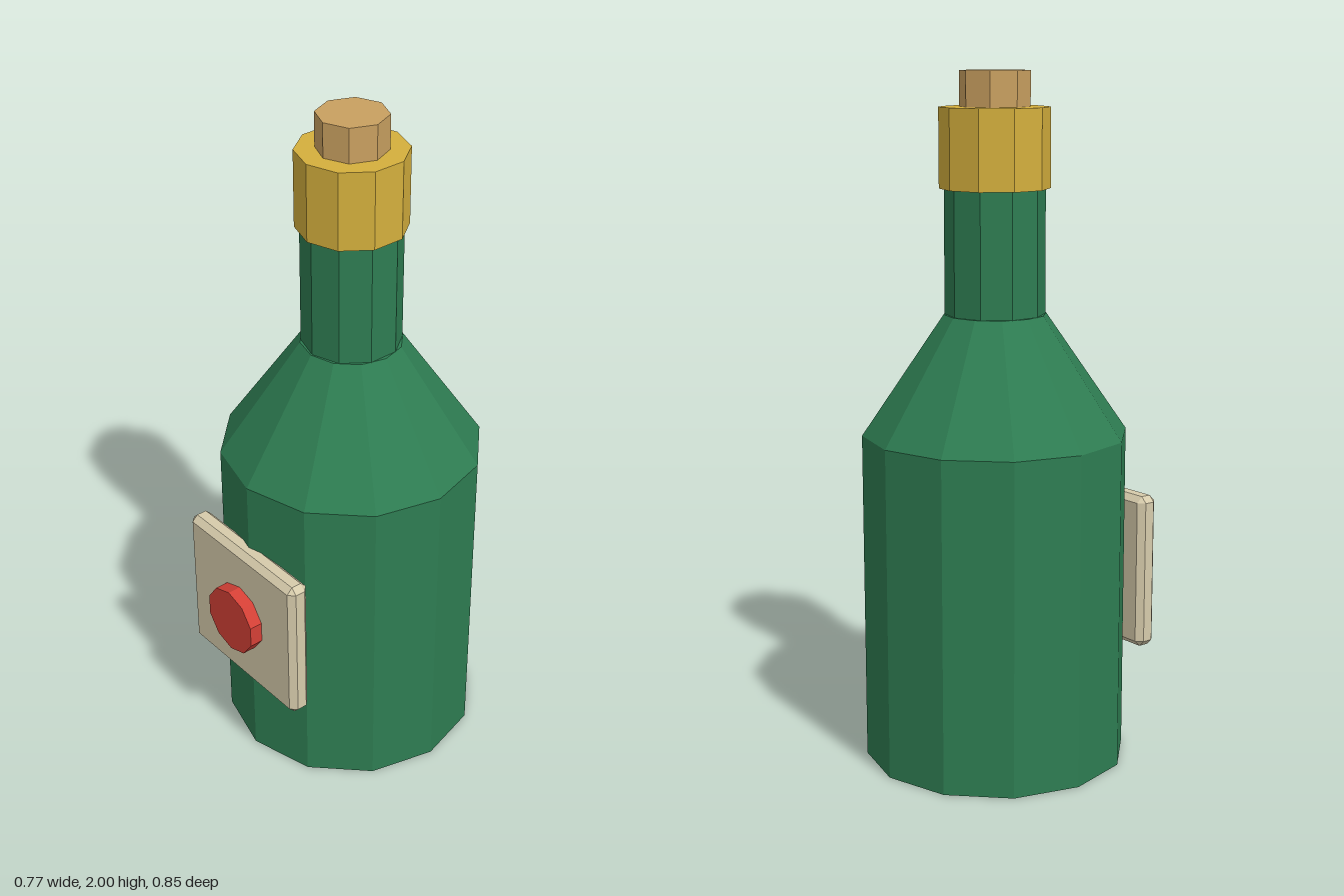
import * as THREE from 'three';
import { ConvexGeometry } from 'three/addons/geometries/ConvexGeometry.js';

const mat = (name, color) => {
  const m = new THREE.MeshStandardMaterial({ color, flatShading: true });
  m.name = name;
  return m;
};

// Box with flat chamfered edges and corners
function chamferBox(w, h, d, c) {
  const points = [];
  for (const x of [-1, 1]) for (const y of [-1, 1]) for (const z of [-1, 1]) {
    for (let axis = 0; axis < 3; axis++) {
      const inset = [c, c, c];
      inset[axis] = 0;
      points.push(new THREE.Vector3(
        x * (w / 2 - inset[0]), y * (h / 2 - inset[1]), z * (d / 2 - inset[2])));
    }
  }
  return new ConvexGeometry(points);
}

export function createModel() {
  const glass = mat('green glass', 0x2e7d52);
  const gold = mat('gold foil', 0xd4af3d);
  const corkTan = mat('cork tan', 0xc9a060);
  const paper = mat('label cream', 0xd6cbab);
  const red = mat('seal red', 0xd44036);

  const model = new THREE.Group();
  model.name = 'bottle';

  const add = (name, geometry, material, x, y, z) => {
    const mesh = new THREE.Mesh(geometry, material);
    mesh.name = name;
    mesh.position.set(x, y, z);
    model.add(mesh);
    return mesh;
  };

  // Stacked faceted sections on the bottle axis
  const axisZ = -0.039;
  const section = (name, material, rTop, rBottom, y0, y1, sides, open = false) =>
    add(name, new THREE.CylinderGeometry(rTop, rBottom, y1 - y0, sides, 1, open),
      material, 0, (y0 + y1) / 2, axisZ);

  section('body', glass, 0.386, 0.386, 0, 0.97, 12);
  section('shoulder', glass, 0.148, 0.386, 0.97, 1.317, 12);
  section('neck', glass, 0.144, 0.144, 1.3, 1.7, 10);
  section('foilCollar', gold, 0.158, 0.158, 1.673, 1.9, 10);
  section('cork', corkTan, 0.101, 0.101, 1.85, 2, 8);

  // Front label with its round seal
  add('label', chamferBox(0.484, 0.464, 0.067, 0.018), paper, 0, 0.529, 0.3515);
  const seal = add('seal', new THREE.CylinderGeometry(0.105, 0.105, 0.06, 10), red, 0, 0.529, 0.395);
  seal.rotation.x = Math.PI / 2;

  return model;
}
